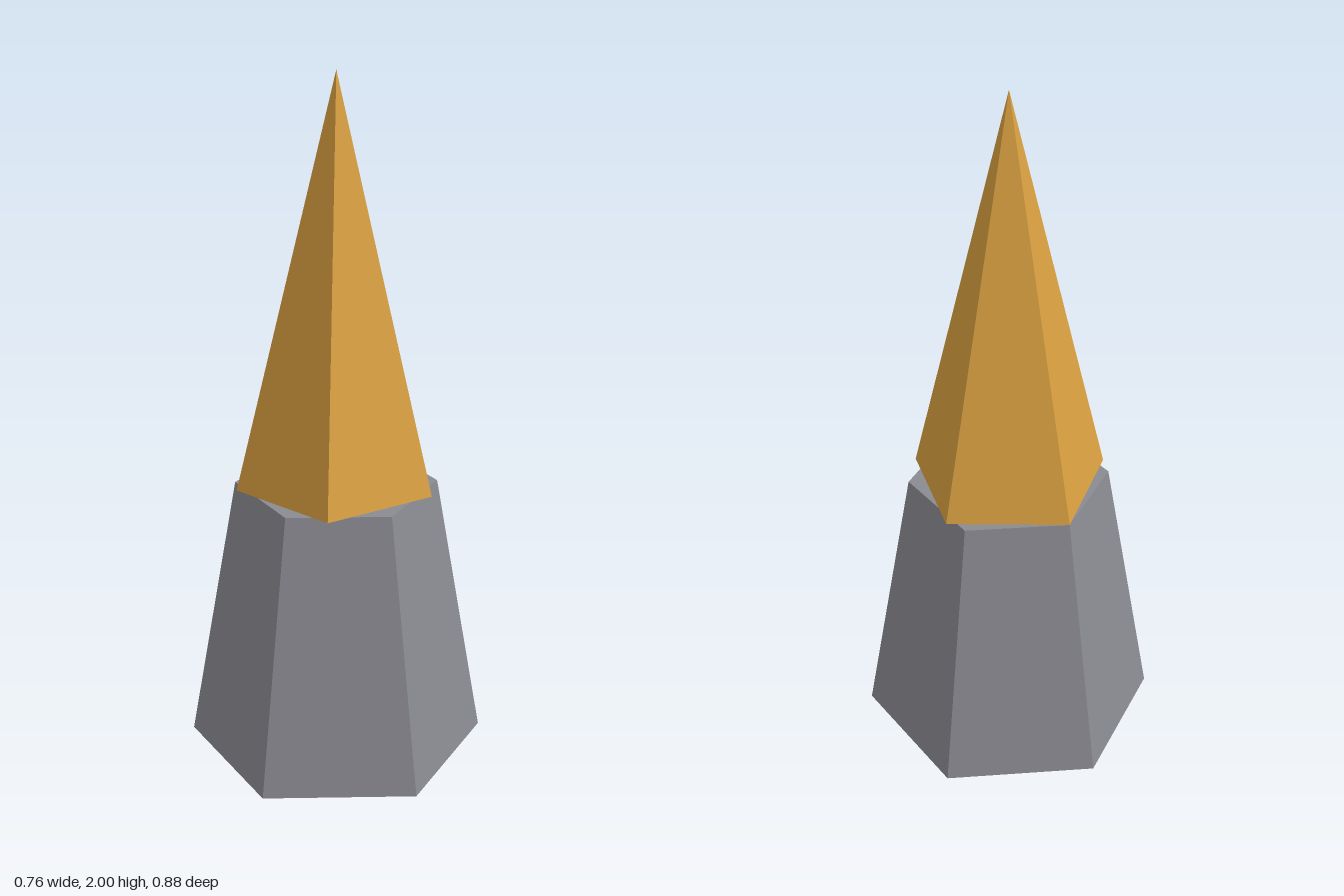
import * as THREE from 'three';

const BASE_HEIGHT = 0.8235;
const TOTAL_HEIGHT = 2;

export function createModel() {
  const model = new THREE.Group();
  model.name = 'spire';

  const stone = new THREE.MeshStandardMaterial({ color: 0x8a8a92, flatShading: true });
  stone.name = 'grey stone';
  const amber = new THREE.MeshStandardMaterial({ color: 0xdaa040, flatShading: true });
  amber.name = 'amber';

  // Tapered six-sided base, corners pointing front and back
  const base = new THREE.Mesh(new THREE.CylinderGeometry(0.2941, 0.4412, BASE_HEIGHT, 6), stone);
  base.name = 'base';
  base.position.y = BASE_HEIGHT / 2;
  model.add(base);

  // Five-sided pointed top, one corner pointing back
  const tipHeight = TOTAL_HEIGHT - BASE_HEIGHT;
  const tip = new THREE.Mesh(new THREE.ConeGeometry(0.2941, tipHeight, 5, 1, false, Math.PI), amber);
  tip.name = 'tip';
  tip.position.y = BASE_HEIGHT + tipHeight / 2;
  model.add(tip);

  return model;
}
